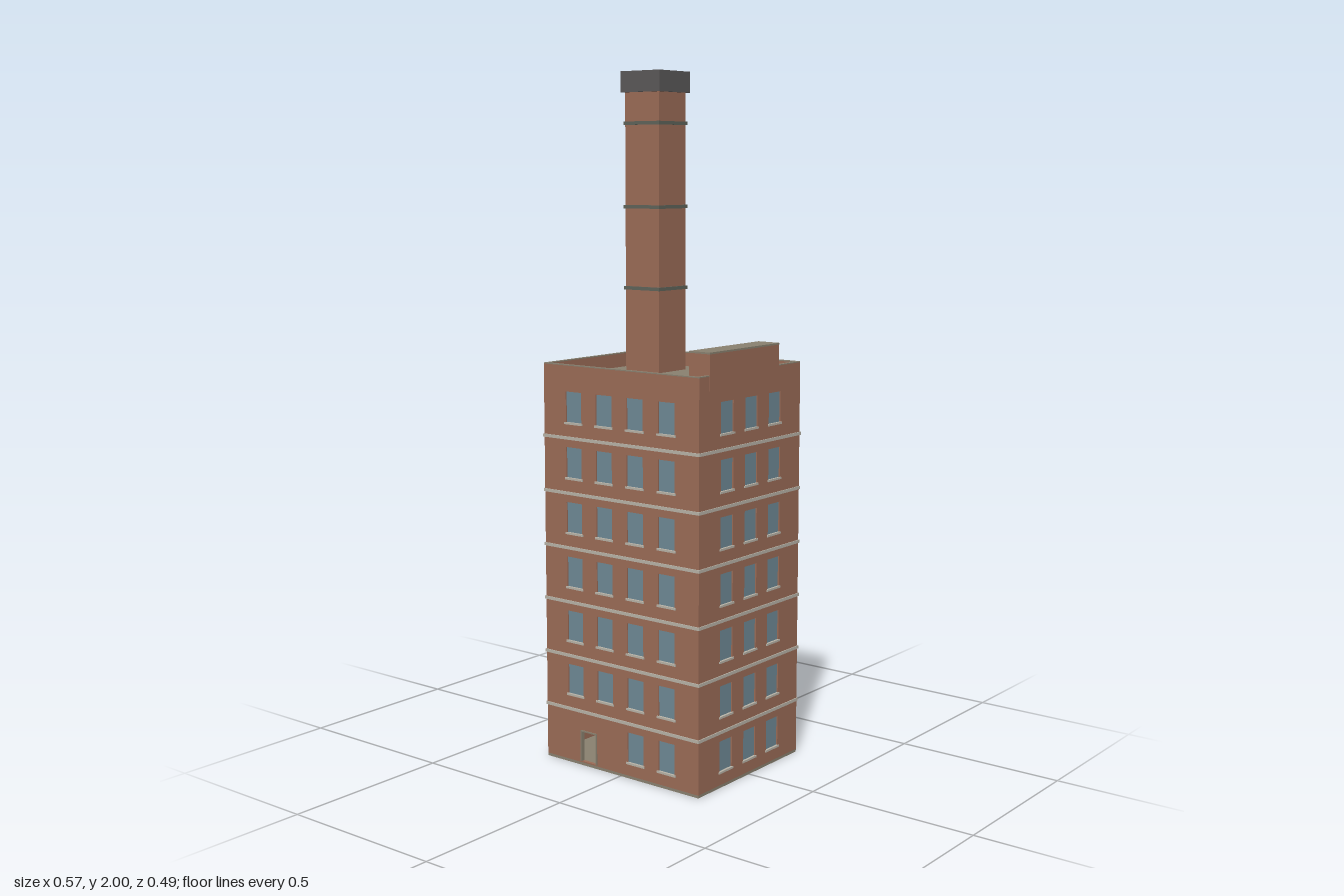
import * as THREE from 'three';

const mat = (name, color) => {
  const m = new THREE.MeshStandardMaterial({ color });
  m.name = name;
  return m;
};

export function createModel() {
  const brick = mat('brick', 0x9c6c57);
  const glass = mat('glass', 0x6f8a96);
  const concrete = mat('concrete', 0x8a8170);
  const trim = mat('pale stone', 0xb9b4a8);
  const iron = mat('iron band', 0x5f645a);
  const capMat = mat('chimney cap', 0x5b5959);

  const W = 0.56, D = 0.48, H = 1.17, T = 0.01, ROOF = 1.13;
  const FLOORS = 7, STEP = 0.16, WIN_W = 0.058, WIN_H = 0.09, BASE = 0.008;
  const model = new THREE.Group();
  model.name = 'brickTower';

  // box given by its centre in x and z, its bottom and its size
  const box = (parent, name, material, w, h, d, x, y, z) => {
    const m = new THREE.Mesh(new THREE.BoxGeometry(w, h, d), material);
    m.position.set(x, y + h / 2, z);
    m.name = name;
    parent.add(m);
    return m;
  };

  const rect = (Kind, x0, y0, x1, y1) => {
    const p = new Kind();
    p.moveTo(x0, y0);
    p.lineTo(x1, y0);
    p.lineTo(x1, y1);
    p.lineTo(x0, y1);
    p.closePath();
    return p;
  };

  // one wall, outer face at local z = 0, with window and door openings
  const wall = (name, width, cols, doorX, distance, angle) => {
    const g = new THREE.Group();
    g.name = name;
    const shape = rect(THREE.Shape, -width / 2, BASE, width / 2, H);
    for (let f = 0; f < FLOORS; f++) {
      const y = 0.046 + f * STEP;
      for (const x of cols) {
        if (f === 0 && doorX !== null && Math.abs(x - doorX) < 0.08) continue;
        shape.holes.push(rect(THREE.Path, x - WIN_W / 2, y, x + WIN_W / 2, y + WIN_H));
        box(g, 'windowPane', glass, WIN_W, WIN_H, 0.003, x, y, -0.0055);
        box(g, 'windowSill', trim, 0.066, 0.006, 0.009, x, y - 0.004, -0.0015);
      }
    }
    if (doorX !== null) {
      // open doorway with a slim frame
      const hw = 0.029, top = 0.104;
      shape.holes.push(rect(THREE.Path, doorX - hw, 0.012, doorX + hw, top));
      for (const s of [-1, 1]) {
        box(g, 'doorFrameSide', concrete, 0.004, top - 0.012, 0.013, doorX + s * hw, 0.012, -0.0035);
      }
      box(g, 'doorFrameTop', concrete, 0.062, 0.004, 0.013, doorX, top - 0.002, -0.0035);
    }
    const geo = new THREE.ExtrudeGeometry(shape, { depth: T, bevelEnabled: false });
    geo.translate(0, 0, -T);
    const body = new THREE.Mesh(geo, brick);
    body.name = name + 'Bricks';
    g.add(body);
    g.rotation.y = angle;
    g.position.set(Math.sin(angle) * distance, 0, Math.cos(angle) * distance);
    model.add(g);
  };

  const four = [-0.168, -0.056, 0.056, 0.168];
  const three = [-0.113, 0, 0.113];
  wall('frontWall', W, four, -0.119, D / 2, 0);
  wall('backWall', W, four, 0.119, D / 2, Math.PI);
  wall('leftWall', D - 2 * T, three, null, W / 2, Math.PI / 2);
  wall('rightWall', D - 2 * T, three, 0, W / 2, -Math.PI / 2);

  // floors: base, slabs that show as pale bands, and the sunken roof
  box(model, 'baseSlab', concrete, W, BASE, D, 0, 0, 0);
  for (let f = 1; f < FLOORS; f++) {
    box(model, 'floorBand', trim, W + 0.006, 0.009, D + 0.006, 0, f * STEP - 0.002, 0);
  }
  box(model, 'roofDeck', concrete, W - 2 * T, 0.01, D - 2 * T, 0, ROOF - 0.01, 0);

  // coping on the parapet
  for (const s of [-1, 1]) {
    box(model, 'copingLong', concrete, W, 0.003, T, 0, H, s * (D - T) / 2);
    box(model, 'copingShort', concrete, T, 0.003, D - 2 * T, s * (W - T) / 2, H, 0);
  }

  // long roof housing along one side
  box(model, 'roofHousing', brick, 0.071, 0.1, 0.325, 0.2455, ROOF, 0.0315);
  box(model, 'roofHousingTop', concrete, 0.072, 0.005, 0.326, 0.2455, 1.23, 0.0315);

  // chimney with iron bands and a dark cap
  const cx = -0.1415, cz = -0.1;
  box(model, 'chimneyShaft', brick, 0.125, 0.83, 0.125, cx, ROOF, cz);
  for (const y of [1.37, 1.607, 1.847]) {
    box(model, 'chimneyBand', iron, 0.133, 0.01, 0.133, cx, y, cz);
  }
  box(model, 'chimneyCap', capMat, 0.143, 0.06, 0.143, cx, 1.94, cz);

  return model;
}
